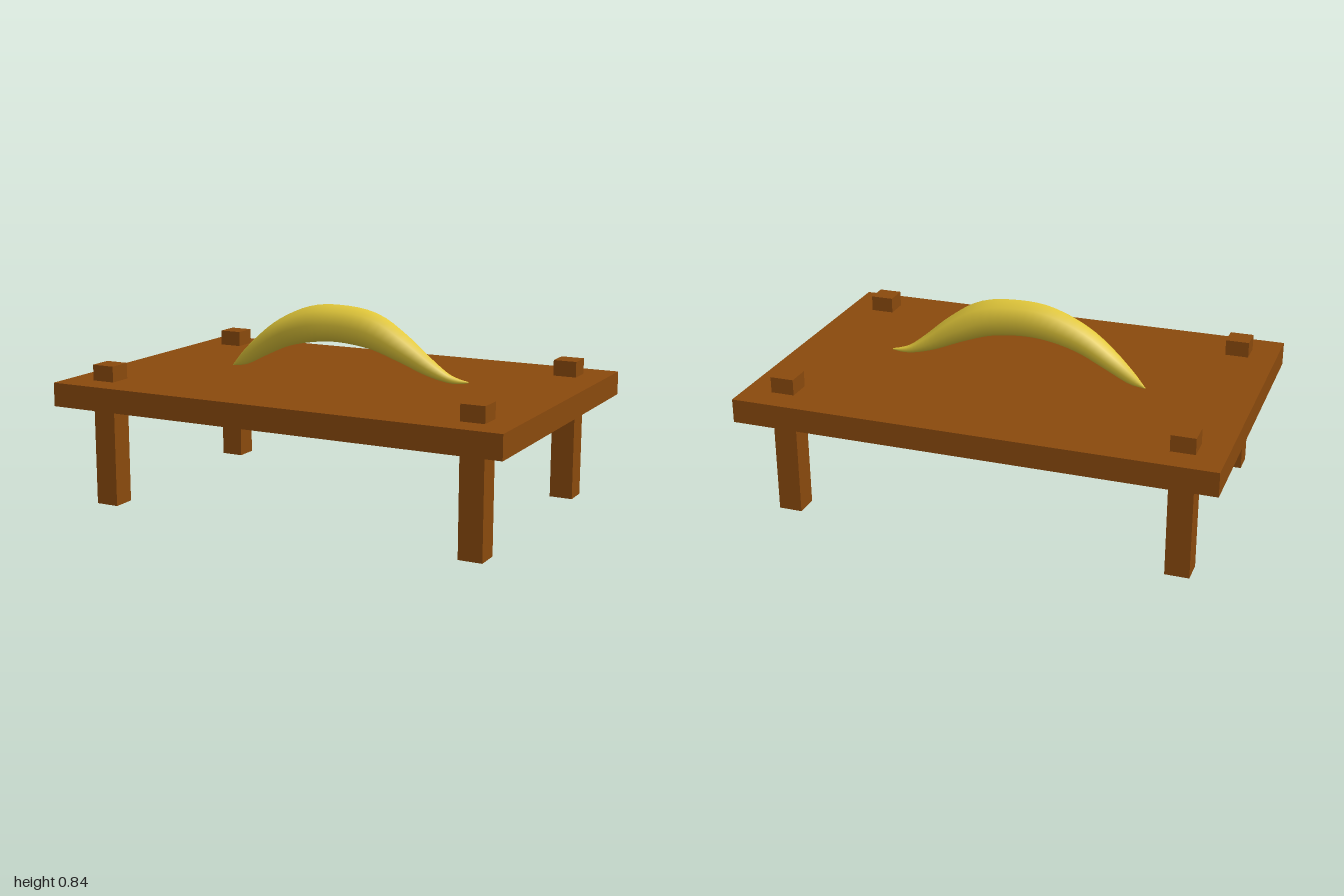
import * as THREE from 'three';

const wood = new THREE.MeshStandardMaterial({ color: 0x8b4a0d });
wood.name = 'brown wood';
const peel = new THREE.MeshStandardMaterial({ color: 0xe2c83a });
peel.name = 'yellow peel';

function box(name, w, h, d, x, y, z) {
  const mesh = new THREE.Mesh(new THREE.BoxGeometry(w, h, d), wood);
  mesh.name = name;
  mesh.position.set(x, y, z);
  return mesh;
}

// Octagonal sections swept along an arched spine
function bananaGeometry() {
  // x, y, z of the spine, then radius across the arch and radius in z
  const stations = [
    [-0.55, 0.535, -0.02, 0.002, 0.002],
    [-0.485, 0.572, -0.016, 0.029, 0.022],
    [-0.385, 0.64, -0.006, 0.047, 0.045],
    [-0.27, 0.706, 0.004, 0.062, 0.058],
    [-0.13, 0.752, 0.01, 0.077, 0.065],
    [0, 0.763, 0.011, 0.08, 0.065],
    [0.15, 0.744, 0.011, 0.079, 0.063],
    [0.28, 0.684, 0.008, 0.062, 0.056],
    [0.4, 0.612, 0, 0.039, 0.036],
    [0.48, 0.573, -0.007, 0.021, 0.021],
    [0.53, 0.561, -0.011, 0.012, 0.012],
    [0.575, 0.559, -0.015, 0.003, 0.003],
  ];
  const spine = new THREE.CatmullRomCurve3(
    stations.map(s => new THREE.Vector3(s[0], s[1], s[2])), false, 'catmullrom');
  const radii = new THREE.CatmullRomCurve3(
    stations.map(s => new THREE.Vector3(s[3], s[4], 0)), false, 'catmullrom');
  const rings = 44, sides = 8, positions = [], index = [];
  for (let i = 0; i <= rings; i++) {
    const p = spine.getPoint(i / rings);
    const t = spine.getTangent(i / rings);
    const r = radii.getPoint(i / rings);
    const len = Math.hypot(t.x, t.y);
    for (let j = 0; j < sides; j++) {
      const a = (j / sides) * Math.PI * 2;
      const up = Math.cos(a) * r.x;
      positions.push(p.x - (t.y / len) * up, p.y + (t.x / len) * up, p.z + Math.sin(a) * r.y);
      if (i < rings) {
        const k = (j + 1) % sides;
        const A = i * sides + j, B = i * sides + k, C = A + sides, D = B + sides;
        index.push(A, B, C, B, D, C);
      }
    }
  }
  // Close both tips
  const last = rings * sides;
  for (let j = 1; j < sides - 1; j++) {
    index.push(0, j + 1, j, last, last + j, last + j + 1);
  }
  const geometry = new THREE.BufferGeometry();
  geometry.setAttribute('position', new THREE.Float32BufferAttribute(positions, 3));
  geometry.setIndex(index);
  geometry.computeVertexNormals();
  return geometry;
}

export function createModel() {
  const group = new THREE.Group();
  group.name = 'tableWithBanana';

  // Table
  group.add(box('tableTop', 2, 0.1, 1.333, 0, 0.483, 0));
  for (const [xName, x] of [['Left', 0.833], ['Right', -0.833]]) {
    for (const [zName, z] of [['front', 0.5], ['back', -0.5]]) {
      group.add(box(`${zName}${xName}Leg`, 0.1, 0.6, 0.1, x, 0.3, z));
    }
  }

  // Fruit
  const banana = new THREE.Mesh(bananaGeometry(), peel);
  banana.name = 'banana';
  group.add(banana);
  return group;
}
